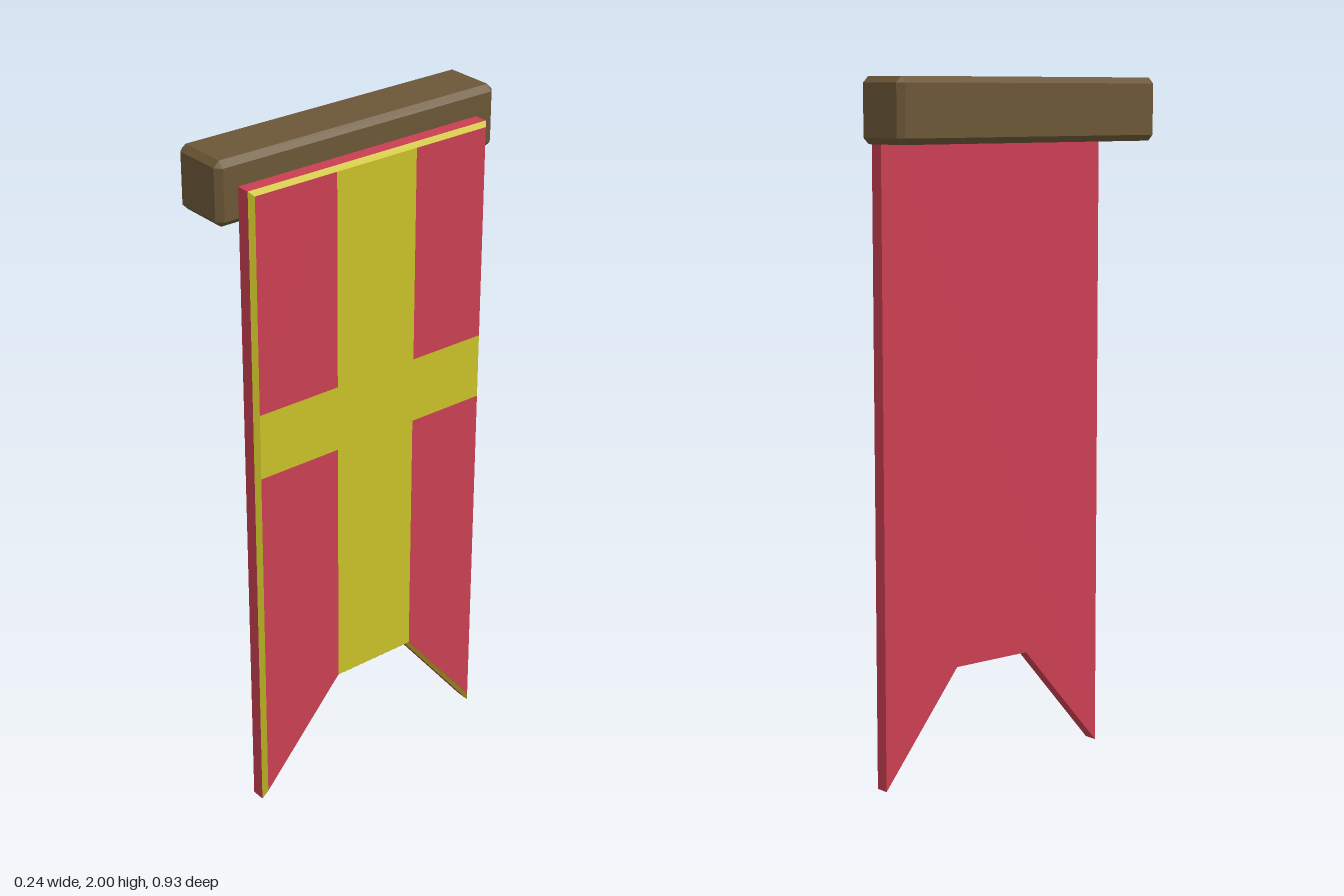
import * as THREE from 'three';
import { ConvexGeometry } from 'three/addons/geometries/ConvexGeometry.js';

const material = (color) => new THREE.MeshStandardMaterial({ color, flatShading: true });

// Outlines as [u, y] pairs, counter-clockwise seen from +x, with u = -z
const OUTER = [[-0.405, 0], [-0.127, 0.32], [0.135, 0.32], [0.393, 0], [0.393, 1.925], [-0.405, 1.925]];
const INNER = [[-0.393, 0.032], [-0.13, 0.333], [0.138, 0.333], [0.381, 0.034], [0.381, 1.913], [-0.393, 1.913]];
const BACK_X = 0.063, RIM_X = 0.104, FRONT_X = 0.118;

const toShape = (points) => new THREE.Shape(points.map(([u, y]) => new THREE.Vector2(u, y)));

// Box with every edge and corner cut at 45 degrees
function chamferedBox(w, h, d, c) {
  const points = [];
  for (const sx of [-1, 1]) for (const sy of [-1, 1]) for (const sz of [-1, 1]) {
    for (let axis = 0; axis < 3; axis++) {
      const inset = [c, c, c];
      inset[axis] = 0;
      points.push(new THREE.Vector3(
        sx * (w / 2 - inset[0]), sy * (h / 2 - inset[1]), sz * (d / 2 - inset[2])));
    }
  }
  return new ConvexGeometry(points);
}

// Sloping strip joining the outer outline to the inner one
function rimGeometry() {
  const positions = [];
  OUTER.forEach((a, i) => {
    const j = (i + 1) % OUTER.length;
    const p = [RIM_X, a[1], -a[0]], q = [RIM_X, OUTER[j][1], -OUTER[j][0]];
    const r = [FRONT_X, INNER[j][1], -INNER[j][0]], s = [FRONT_X, INNER[i][1], -INNER[i][0]];
    positions.push(...p, ...q, ...r, ...p, ...r, ...s);
  });
  const geometry = new THREE.BufferGeometry();
  geometry.setAttribute('position', new THREE.Float32BufferAttribute(positions, 3));
  geometry.computeVertexNormals();
  return geometry;
}

export function createModel() {
  const group = new THREE.Group();
  const wood = material(0x6b5636), red = material(0xc93f52), yellow = material(0xc9bf28);
  const add = (name, geometry, mat, parent = group) => {
    const mesh = new THREE.Mesh(geometry, mat);
    mesh.name = name;
    parent.add(mesh);
    return mesh;
  };

  // Wooden beam
  add('beam', chamferedBox(0.18, 0.18, 0.93, 0.017), wood).position.set(-0.029, 1.91, 0);

  // Swallow-tailed cloth and its bevelled rim
  const banner = new THREE.Group();
  banner.name = 'banner';
  group.add(banner);
  const cloth = new THREE.ExtrudeGeometry(toShape(OUTER), { depth: RIM_X - BACK_X, bevelEnabled: false });
  add('cloth', cloth.rotateY(Math.PI / 2).translate(BACK_X, 0, 0), red, banner);
  add('rim', rimGeometry(), yellow, banner);

  // Front face: cross in yellow, four fields in red
  const panel = (name, points, mat) =>
    add(name, new THREE.ShapeGeometry(toShape(points)).rotateY(Math.PI / 2).translate(FRONT_X, 0, 0), mat, banner);
  const rect = (u0, u1, y0, y1) => [[u0, y0], [u1, y0], [u1, y1], [u0, y1]];
  const [tipL, notchL, notchR, tipR, topR] = INNER;
  const low = 1.09, high = 1.285, top = topR[1];

  panel('crossUpright', rect(notchL[0], notchR[0], notchL[1], top), yellow);
  for (const [side, u0, u1] of [['right', notchR[0], tipR[0]], ['left', tipL[0], notchL[0]]]) {
    panel(side + 'CrossArm', rect(u0, u1, low, high), yellow);
    panel(side + 'UpperField', rect(u0, u1, high, top), red);
  }
  panel('leftLowerField', [tipL, notchL, [notchL[0], low], [tipL[0], low]], red);
  panel('rightLowerField', [notchR, tipR, [tipR[0], low], [notchR[0], low]], red);

  return group;
}
